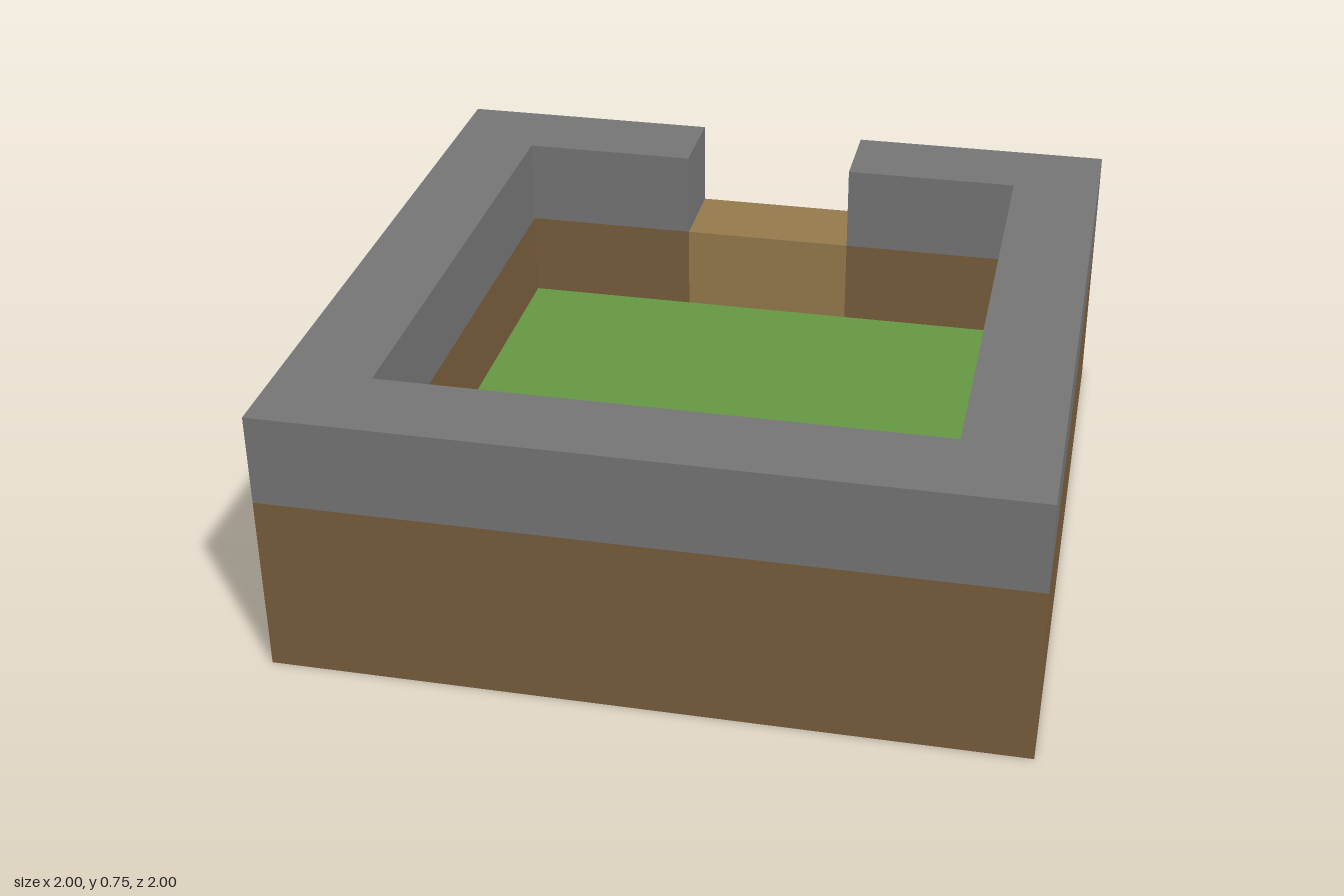
import * as THREE from 'three';

const UNIT = 0.25; // edge of one block

const paint = (name, color) => {
  const m = new THREE.MeshStandardMaterial({ color });
  m.name = name;
  return m;
};

// Plan outline given as [x, z] points
const plan = (points, Type = THREE.Shape) =>
  new Type(points.map(([x, z]) => new THREE.Vector2(x, -z)));

// Raises a plan from y = bottom by height
function slab(name, shape, bottom, height, material) {
  const geometry = new THREE.ExtrudeGeometry(shape, { depth: height, bevelEnabled: false });
  geometry.rotateX(-Math.PI / 2);
  const mesh = new THREE.Mesh(geometry, material);
  mesh.name = name;
  mesh.position.y = bottom;
  return mesh;
}

export function createModel() {
  const stone = paint('stone grey', 0x747474);
  const earth = paint('earth brown', 0x785c3b);
  const grass = paint('grass green', 0x659642);
  const wood = paint('gate tan', 0x94794b);
  const clay = paint('patch brown', 0x7b5b3e);

  const model = new THREE.Group();
  model.name = 'walledYard';

  // Wall ring, open at the back for the gateway
  const ring = plan([
    [-0.25, -1], [-1, -1], [-1, 1], [1, 1], [1, -1], [0.25, -1],
    [0.25, -0.75], [0.75, -0.75], [0.75, 0.75], [-0.75, 0.75], [-0.75, -0.75], [-0.25, -0.75],
  ]);
  model.add(slab('wallBase', ring, 0, 2 * UNIT, earth));
  model.add(slab('wallTop', ring, 2 * UNIT, UNIT, stone));

  // Lawn, running out under the gateway, with an opening for the patch
  const lawn = plan([
    [-0.75, 0.75], [0.75, 0.75], [0.75, -0.75], [0.25, -0.75],
    [0.25, -1], [-0.25, -1], [-0.25, -0.75], [-0.75, -0.75],
  ]);
  const patch = [[0, 0], [0, 0.25], [0.25, 0.25], [0.25, 0]];
  lawn.holes.push(plan(patch, THREE.Path));
  model.add(slab('lawn', lawn, 0, UNIT, grass));
  model.add(slab('earthPatch', plan(patch), 0, UNIT, clay));

  // Gateway sill
  const sill = plan([[-0.25, -0.75], [0.25, -0.75], [0.25, -1], [-0.25, -1]]);
  model.add(slab('gatewaySill', sill, UNIT, UNIT, wood));

  return model;
}
